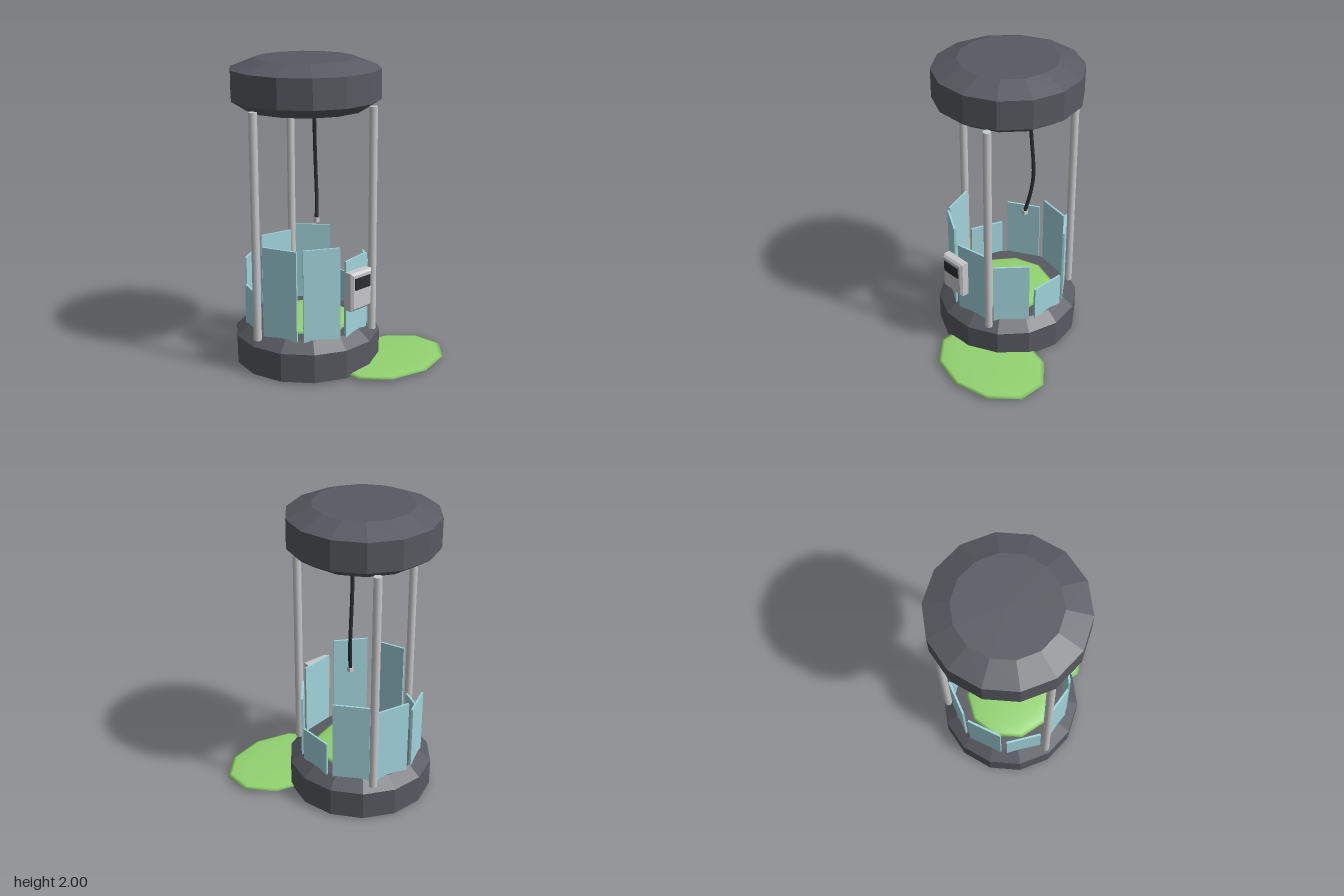
import * as THREE from 'three';

const mat = (name, color, extra = {}) =>
  Object.assign(new THREE.MeshStandardMaterial({ color, ...extra }), { name });

export function createModel() {
  const model = new THREE.Group();
  model.name = 'brokenTank';

  const casing = mat('darkCasing', 0x575a61, { flatShading: true });
  const metal = mat('paleMetal', 0xc8c8ca);
  const glass = mat('tealGlass', 0xa0d4da);
  const slime = mat('greenSlime', 0x92d370);
  const rubber = mat('blackRubber', 0x2b2d31);

  const add = (parent, name, geometry, material, x = 0, y = 0, z = 0) => {
    const mesh = new THREE.Mesh(geometry, material);
    mesh.name = name;
    mesh.position.set(x, y, z);
    parent.add(mesh);
    return mesh;
  };

  // The tank stands off centre; the spilled slime balances it
  const tank = new THREE.Group();
  tank.name = 'tank';
  tank.position.set(-0.12, 0, -0.153);
  model.add(tank);

  // Fourteen-sided base and cap, with a vertex on the x axis
  const turned = (profile) =>
    new THREE.LatheGeometry(profile.map(([r, y]) => new THREE.Vector2(r, y)), 14).rotateY(Math.PI / 2);
  add(tank, 'base', turned([[0, 0.01], [0.48, 0.01], [0.48, 0.2], [0.4, 0.267], [0, 0.267]]), casing);
  add(tank, 'cap', turned([[0, 1.685], [0.385, 1.685], [0.48, 1.747], [0.48, 1.937], [0.32, 2], [0, 2]]), casing);

  // Three posts
  for (const degrees of [60, 180, 300]) {
    const a = THREE.MathUtils.degToRad(degrees);
    add(tank, 'post', new THREE.CylinderGeometry(0.027, 0.027, 1.475, 12), metal,
      0.44 * Math.cos(a), 0.973, 0.44 * Math.sin(a));
  }

  // Ring of nine broken glass panes, given by their top heights
  const paneTops = [0.49, 0.69, 0.765, 0.865, 0.855, 0.52, 0.69, 0.76, 0.8];
  paneTops.forEach((top, i) => {
    const a = (i / paneTops.length) * Math.PI * 2;
    const height = top - 0.255;
    const pane = add(tank, 'glassPane', new THREE.BoxGeometry(0.014, height, 0.238), glass,
      0.385 * Math.cos(a), 0.255 + height / 2, 0.385 * Math.sin(a));
    pane.rotation.y = -a;
  });

  // Flattened slime: a pool inside and a puddle on the ground
  const blob = (rx, ry, rz) =>
    new THREE.SphereGeometry(1, 10, 8).rotateY(Math.PI / 2).scale(rx, ry, rz);
  add(tank, 'slimePool', blob(0.31, 0.03, 0.31), slime, 0, 0.267, 0);
  add(model, 'slimePuddle', blob(0.42, 0.02, 0.315), slime, 0.2, 0.022, 0.3);

  // Hanging cable with a small plug
  const path = new THREE.CatmullRomCurve3([
    new THREE.Vector3(0.008, 1.7, -0.208),
    new THREE.Vector3(0.025, 1.45, -0.222),
    new THREE.Vector3(0.04, 1.2, -0.228),
    new THREE.Vector3(0.03, 1.06, -0.212),
    new THREE.Vector3(0.006, 0.925, -0.19),
  ]);
  add(model, 'cable', new THREE.TubeGeometry(path, 20, 0.012, 8), rubber);
  add(model, 'cablePlug', new THREE.BoxGeometry(0.03, 0.03, 0.03), metal, 0.004, 0.912, -0.188);

  // Control box with chamfered edges and a dark screen
  const bevel = 0.015, w = 0.185 / 2 - bevel, h = 0.25 / 2 - bevel;
  const outline = new THREE.Shape([
    new THREE.Vector2(-w, -h), new THREE.Vector2(w, -h),
    new THREE.Vector2(w, h), new THREE.Vector2(-w, h),
  ]);
  const control = new THREE.Group();
  control.name = 'controlBox';
  control.position.set(-0.122, 0.59, 0.313);
  model.add(control);
  const shell = new THREE.ExtrudeGeometry(outline, {
    depth: 0.045, bevelEnabled: true, bevelThickness: bevel, bevelSize: bevel, bevelSegments: 1,
  }).translate(0, 0, -0.0225);
  add(control, 'controlCase', shell, metal);
  add(control, 'controlScreen', new THREE.BoxGeometry(0.132, 0.075, 0.009), rubber, 0, 0.053, 0.0415);

  return model;
}
